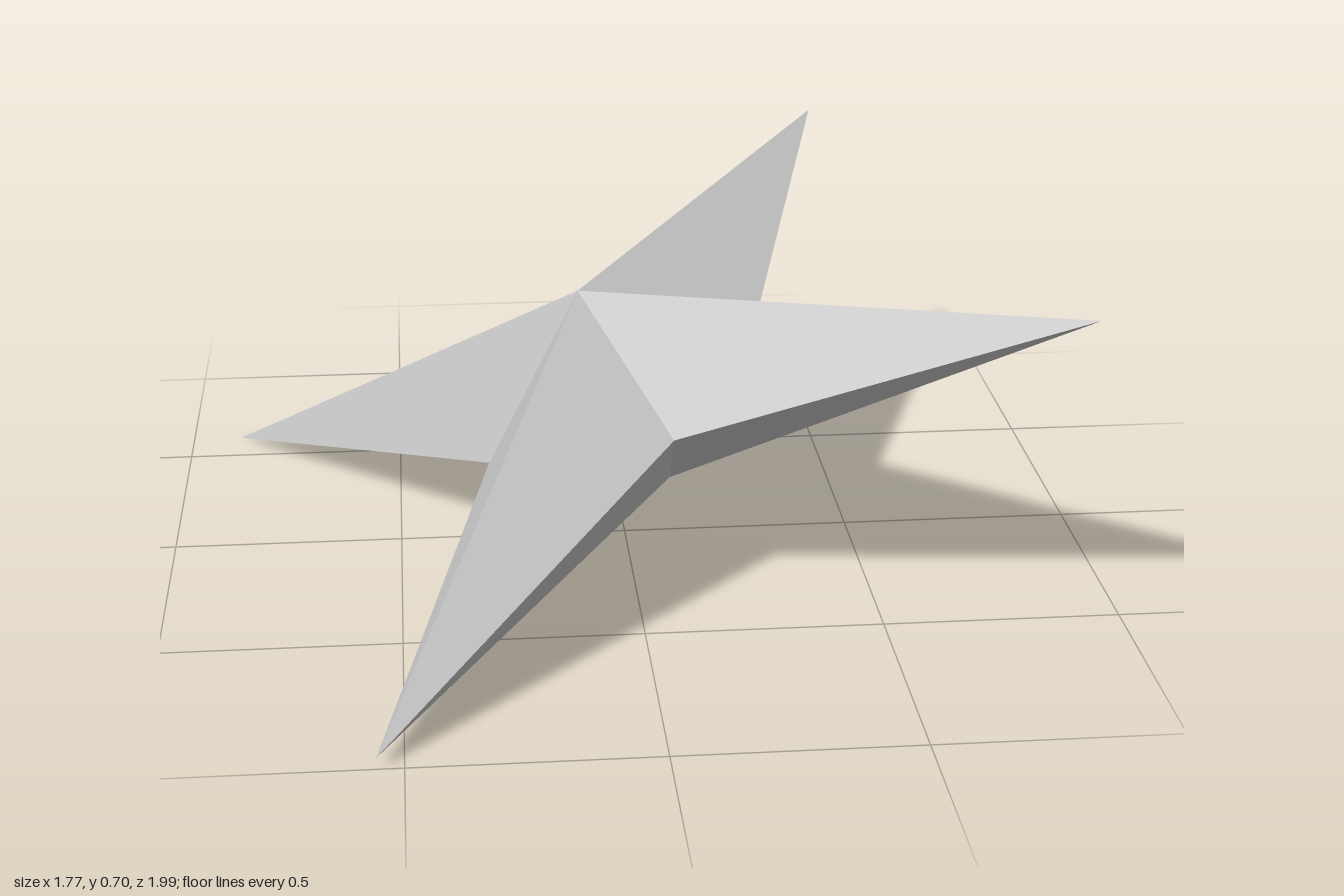
import * as THREE from 'three';

// Tilted four-pointed star: an outline of tips and notches joined to an upper and a lower peak.
export function createModel() {
  const group = new THREE.Group();
  group.name = 'throwingStar';
  const steel = new THREE.MeshStandardMaterial({ color: 0xc0c0c0 });
  steel.name = 'steel grey';

  // The star is point-symmetric about this centre
  const centre = new THREE.Vector3(0, 0.357, 0);
  const opposite = (p) => centre.clone().multiplyScalar(2).sub(p);

  const peak = new THREE.Vector3(-0.103, 0.588, 0.015);
  const half = [
    new THREE.Vector3(0.886, 0.709, 0.607), // right tip
    new THREE.Vector3(0.303, 0.5, -0.07), // notch
    new THREE.Vector3(0.553, 0.687, -0.997), // back tip
    new THREE.Vector3(-0.075, 0.348, -0.333), // notch
  ];
  const ring = [...half, ...half.map(opposite)];
  const at = (i) => ring[(i + 8) % 8];

  // Each blade spans notch - tip - notch, above and below
  ['leftBlade', 'backBlade', 'rightBlade', 'frontBlade'].forEach((name, k) => {
    const points = [];
    for (const i of [2 * k - 1, 2 * k]) {
      points.push(peak, at(i), at(i + 1));
      points.push(opposite(peak), at(i + 1), at(i));
    }
    const geometry = new THREE.BufferGeometry().setFromPoints(points);
    geometry.computeVertexNormals();
    const blade = new THREE.Mesh(geometry, steel);
    blade.name = name;
    group.add(blade);
  });
  return group;
}
